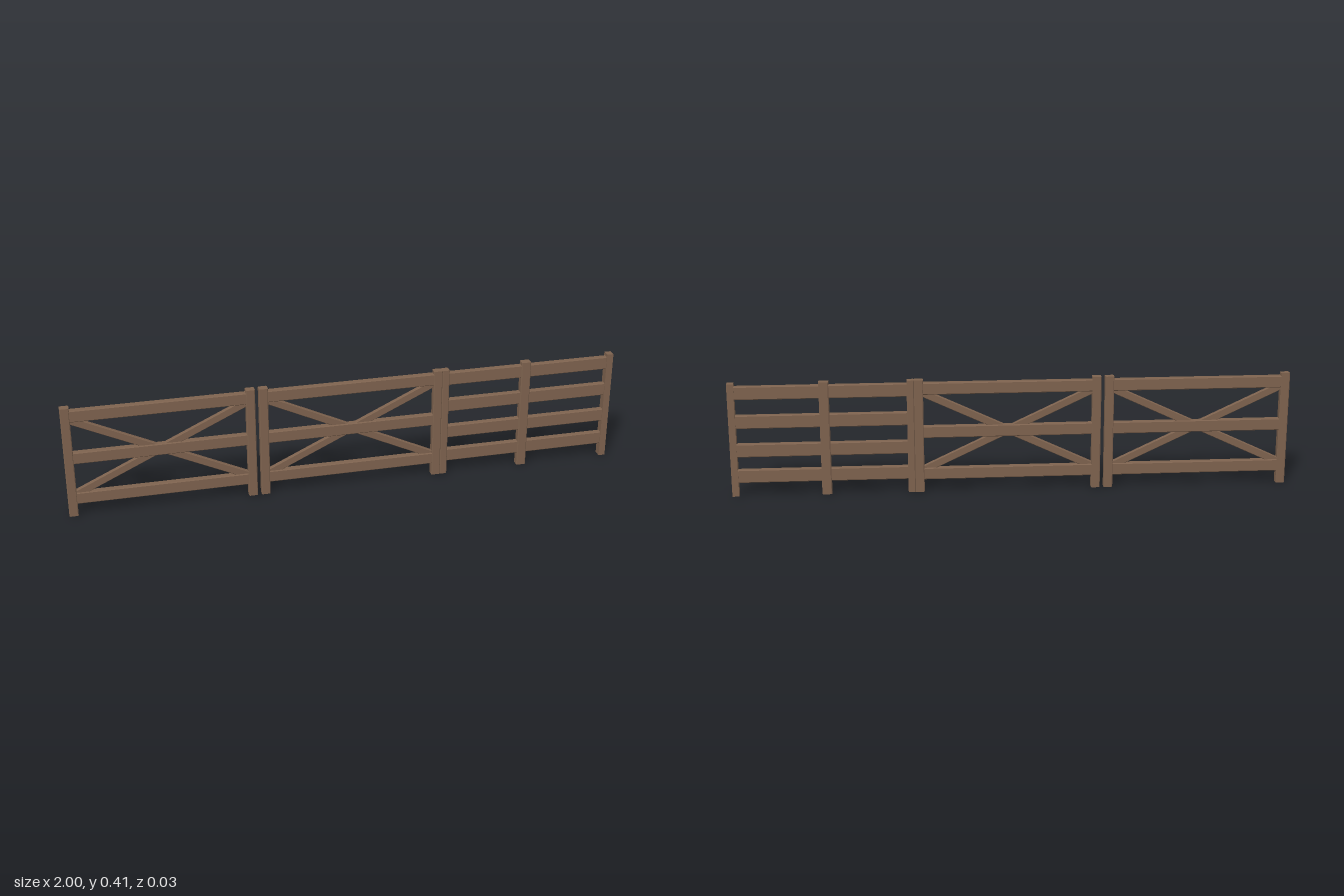
import * as THREE from 'three';

const wood = new THREE.MeshStandardMaterial({ color: 0x7d624e });
wood.name = 'brownWood';

// Beam along x with chamfered long edges, centred on the origin
function beamGeometry(length, height, depth, c) {
  const h = height / 2, d = depth / 2;
  const pts = [
    [-d + c, -h], [d - c, -h], [d, -h + c], [d, h - c],
    [d - c, h], [-d + c, h], [-d, h - c], [-d, -h + c],
  ].map(([x, y]) => new THREE.Vector2(x, y));
  const geo = new THREE.ExtrudeGeometry(new THREE.Shape(pts), { depth: length, bevelEnabled: false });
  geo.translate(0, 0, -length / 2);
  geo.rotateY(Math.PI / 2);
  return geo;
}

// Beam between two points in the fence plane
function beam(name, x0, y0, x1, y1, height, depth, chamfer = 0.003) {
  const mesh = new THREE.Mesh(beamGeometry(Math.hypot(x1 - x0, y1 - y0), height, depth, chamfer), wood);
  mesh.name = name;
  mesh.position.set((x0 + x1) / 2, (y0 + y1) / 2, 0);
  mesh.rotation.z = Math.atan2(y1 - y0, x1 - x0);
  return mesh;
}

const TOP = 0.413, POST_DEPTH = 0.028;
const post = (name, x0, x1) => beam(name, (x0 + x1) / 2, 0, (x0 + x1) / 2, TOP, x1 - x0, POST_DEPTH);

// Gate section: two posts, three rails and a cross brace
function gate(name, x0, x1) {
  const g = new THREE.Group();
  g.name = name;
  const w = 0.032, a = x0 + w - 0.004, b = x1 - w + 0.004;
  g.add(post('gatePostRight', x0, x0 + w), post('gatePostLeft', x1 - w, x1));
  for (const y of [0.067, 0.222, 0.381]) g.add(beam('gateRail', a, y, b, y, 0.043, 0.024));
  g.add(beam('braceRising', a, 0.08, b, 0.366, 0.027, 0.016, 0.002));
  g.add(beam('braceFalling', a, 0.366, b, 0.08, 0.027, 0.0155, 0.002));
  return g;
}

// Rail fence section: three posts and four planks
function railFence() {
  const g = new THREE.Group();
  g.name = 'railFence';
  g.add(post('fencePostRight', 0.348, 0.374));
  g.add(post('fencePostMiddle', 0.647, 0.682));
  const end = new THREE.Mesh(new THREE.BoxGeometry(0.024, TOP, POST_DEPTH), wood);
  end.name = 'fencePostEnd';
  end.position.set(0.988, TOP / 2, 0);
  g.add(end);
  for (const y of [0.073, 0.168, 0.273, 0.378]) g.add(beam('fenceRail', 0.37, y, 0.98, y, 0.048, 0.022));
  return g;
}

export function createModel() {
  const model = new THREE.Group();
  model.name = 'woodenFence';
  model.add(gate('gateRight', -1, -0.332), gate('gateMiddle', -0.318, 0.348), railFence());
  return model;
}
